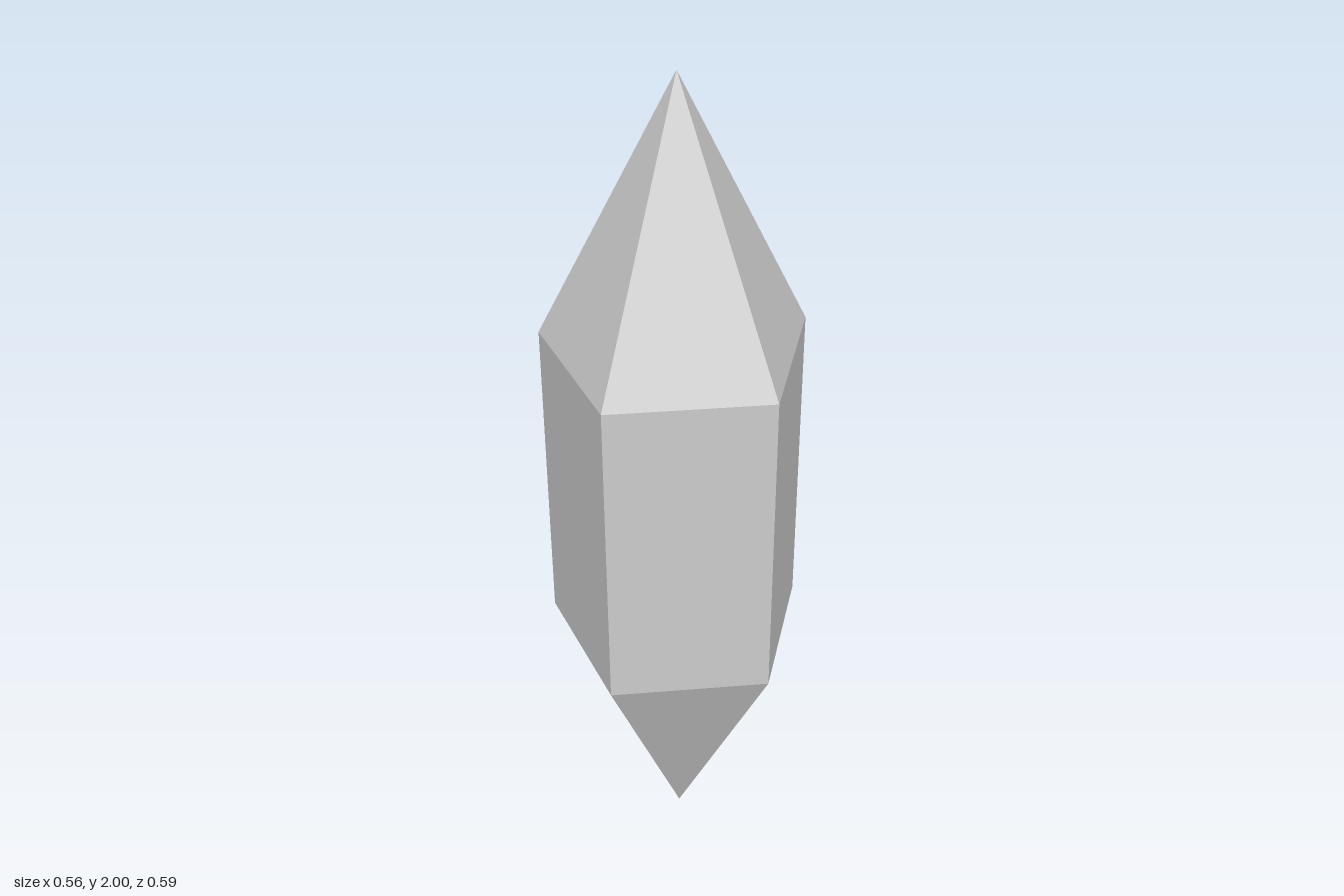
import * as THREE from 'three';

export function createModel() {
  const group = new THREE.Group();
  group.name = 'crystal';

  const sides = 5;
  const radius = 0.309;
  const tipHeight = 0.618;
  const height = 2;

  // Five-sided prism with a pointed cap at each end, one corner towards +x
  const profile = [
    [0, 0],
    [radius, tipHeight],
    [radius, height - tipHeight],
    [0, height],
  ].map(([r, y]) => new THREE.Vector2(r, y));

  const geometry = new THREE.LatheGeometry(profile, sides, Math.PI / 2).toNonIndexed();
  geometry.computeVertexNormals();

  const material = new THREE.MeshStandardMaterial({ color: 0xcccccc, flatShading: true });
  const shard = new THREE.Mesh(geometry, material);
  shard.name = 'crystalShard';

  // Centre the pentagon's extent on x = 0
  shard.position.x = -radius * (1 - Math.cos(Math.PI / sides)) / 2;
  group.add(shard);
  return group;
}
